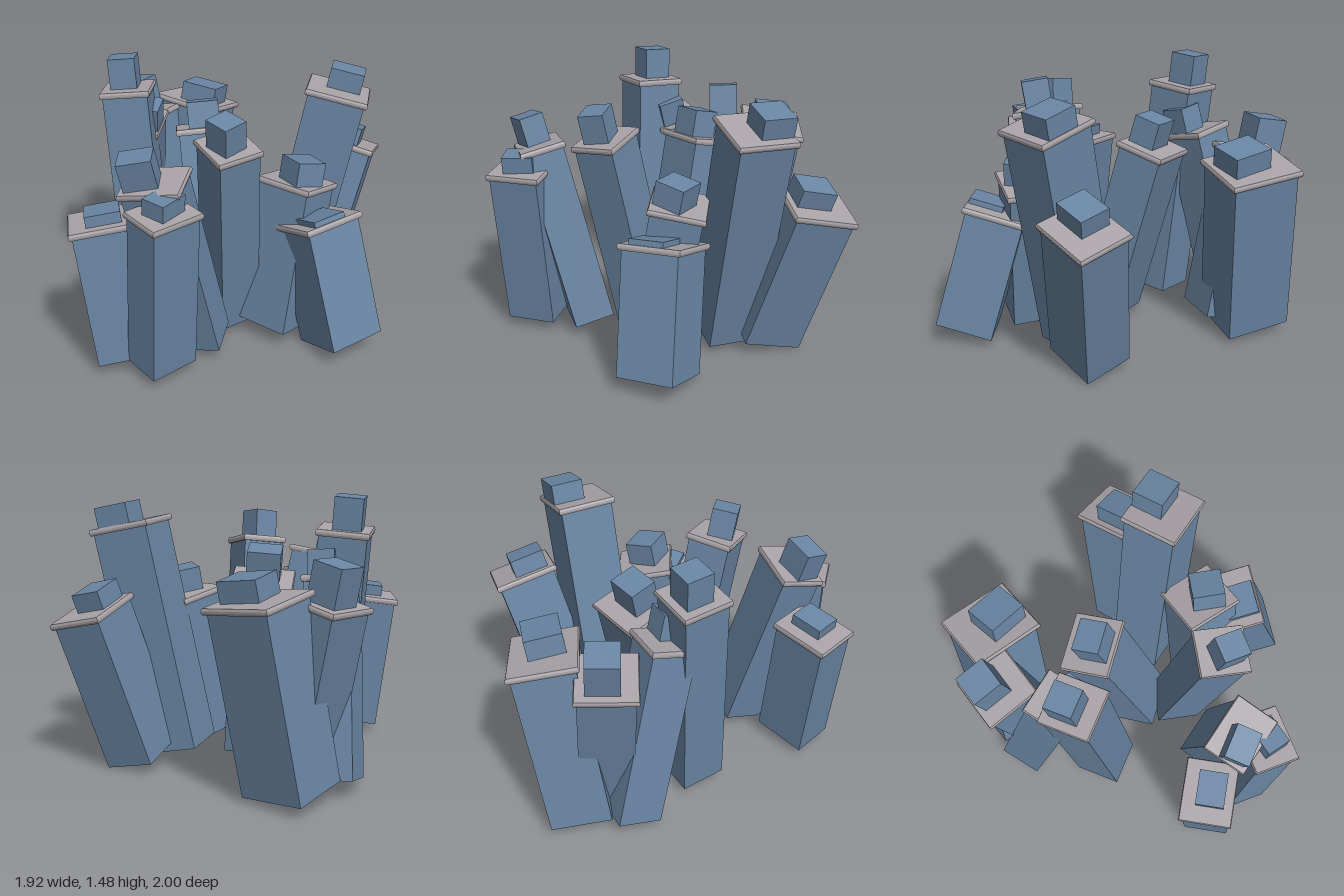
import * as THREE from 'three';

const blue = new THREE.MeshStandardMaterial({ color: 0x6a86a4, flatShading: true });
const grey = new THREE.MeshStandardMaterial({ color: 0xaaa4a8, flatShading: true });
const SLAB = 0.034;
const BLOCK_RATIO = 0.54;
const FOOT_HEIGHT = 0.06;

// One leaning tower: foot [x, z], roof centre [x, y, z], yaw in degrees,
// roof width, height of the rooftop block, and where they differ:
// roof depth, the block's [x, z] shift from the roof centre and its extra turn
const TOWERS = [
  // back right
  { foot: [-0.70, -0.52], top: [-0.60, 1.00, -0.66], yaw: -1, width: 0.41, depth: 0.36, block: 0.11, shift: [0.05, 0.01], turn: 8 },
  { foot: [-0.61, -0.38], top: [-0.79, 0.97, -0.36], yaw: -3, width: 0.32, block: 0.20, shift: [-0.03, -0.02] },
  { foot: [-0.47, 0.10], top: [-0.59, 1.28, 0.08], yaw: 27, width: 0.28, block: 0.17, shift: [-0.02, -0.01] },
  { foot: [-0.78, -0.26], top: [-0.61, 1.04, -0.06], yaw: 20, width: 0.27, block: 0.14, shift: [0.06, 0.01] },
  // back left
  { foot: [0.28, -0.57], top: [0.41, 0.86, -0.80], yaw: 14, width: 0.31, depth: 0.36, block: 0.10, shift: [-0.02, 0.05] },
  { foot: [0.23, -0.34], top: [0.46, 1.29, -0.46], yaw: 20, width: 0.35, depth: 0.33, block: 0.11, shift: [0, -0.07] },
  // middle
  { foot: [-0.07, -0.05], top: [-0.26, 1.02, -0.20], yaw: 34, width: 0.33, depth: 0.28, block: 0.15, shift: [0.02, 0.03] },
  { foot: [0.36, 0.06], top: [0.41, 0.87, -0.08], yaw: -6, width: 0.33, depth: 0.31, block: 0.13, shift: [0.03, 0.03], turn: -26 },
  { foot: [0.76, 0.03], top: [0.57, 0.71, 0], yaw: -28, width: 0.35, depth: 0.36, block: 0.03, shift: [0.05, 0.05] },
  // front
  { foot: [0.09, 0.10], top: [0.20, 1.16, 0.31], yaw: -30, width: 0.28, depth: 0.26, block: 0.16, shift: [0, 0.02], turn: 13 },
  { foot: [-0.19, 0.74], top: [-0.28, 0.82, 0.78], yaw: 40, width: 0.34, depth: 0.28, block: 0.06, shift: [0.02, 0] },
  { foot: [0.08, 0.43], top: [0, 1.06, 0.69], yaw: 16, width: 0.33, depth: 0.25, block: 0.16, shift: [-0.05, 0.03], turn: 11 },
  { foot: [0.04, 0.73], top: [0.11, 0.95, 0.78], yaw: -19, width: 0.25, depth: 0.31, block: 0.09, turn: 13 },
];

// Square slab with a pointed rim, unit width before scaling
function slabGeometry() {
  const r = Math.SQRT1_2;
  const profile = [[0, -0.5], [r * 0.97, -0.5], [r, -0.15], [r, 0.15], [r * 0.97, 0.5], [0, 0.5]];
  const geometry = new THREE.LatheGeometry(profile.map(([x, y]) => new THREE.Vector2(x, y)), 4);
  return geometry.rotateY(Math.PI / 4);
}

function addMesh(group, name, geometry, material, position, yaw) {
  const mesh = new THREE.Mesh(geometry, material);
  mesh.name = name;
  mesh.position.set(...position);
  mesh.rotation.y = THREE.MathUtils.degToRad(yaw);
  group.add(mesh);
  return mesh;
}

function createTower({ foot, top, yaw, width, depth = width, block, shift = [0, 0], turn = 0 }) {
  const tower = new THREE.Group();
  tower.name = 'tower';
  tower.position.set(foot[0], FOOT_HEIGHT, foot[1]);

  // Tilt the whole tower from upright onto its own axis
  const axis = new THREE.Vector3(...top).sub(tower.position);
  const height = axis.length();
  tower.quaternion.setFromUnitVectors(new THREE.Vector3(0, 1, 0), axis.normalize());

  const bodyGeometry = new THREE.BoxGeometry(width * 0.9, height, depth * 0.9);
  addMesh(tower, 'towerBody', bodyGeometry, blue, [0, height / 2, 0], yaw);

  const roof = addMesh(tower, 'roofSlab', slabGeometry(), grey, [0, height, 0], yaw);
  roof.scale.set(width, SLAB, depth);

  // The block stands on the roof and is sunk halfway into the slab
  const blockHeight = block + SLAB / 2;
  const blockGeometry = new THREE.BoxGeometry(width * BLOCK_RATIO, blockHeight, depth * BLOCK_RATIO);
  addMesh(tower, 'roofBlock', blockGeometry, blue, [shift[0], height + blockHeight / 2, shift[1]], yaw + turn);
  return tower;
}

export function createModel() {
  const model = new THREE.Group();
  model.name = 'towerCluster';
  TOWERS.forEach((tower) => model.add(createTower(tower)));
  return model;
}
